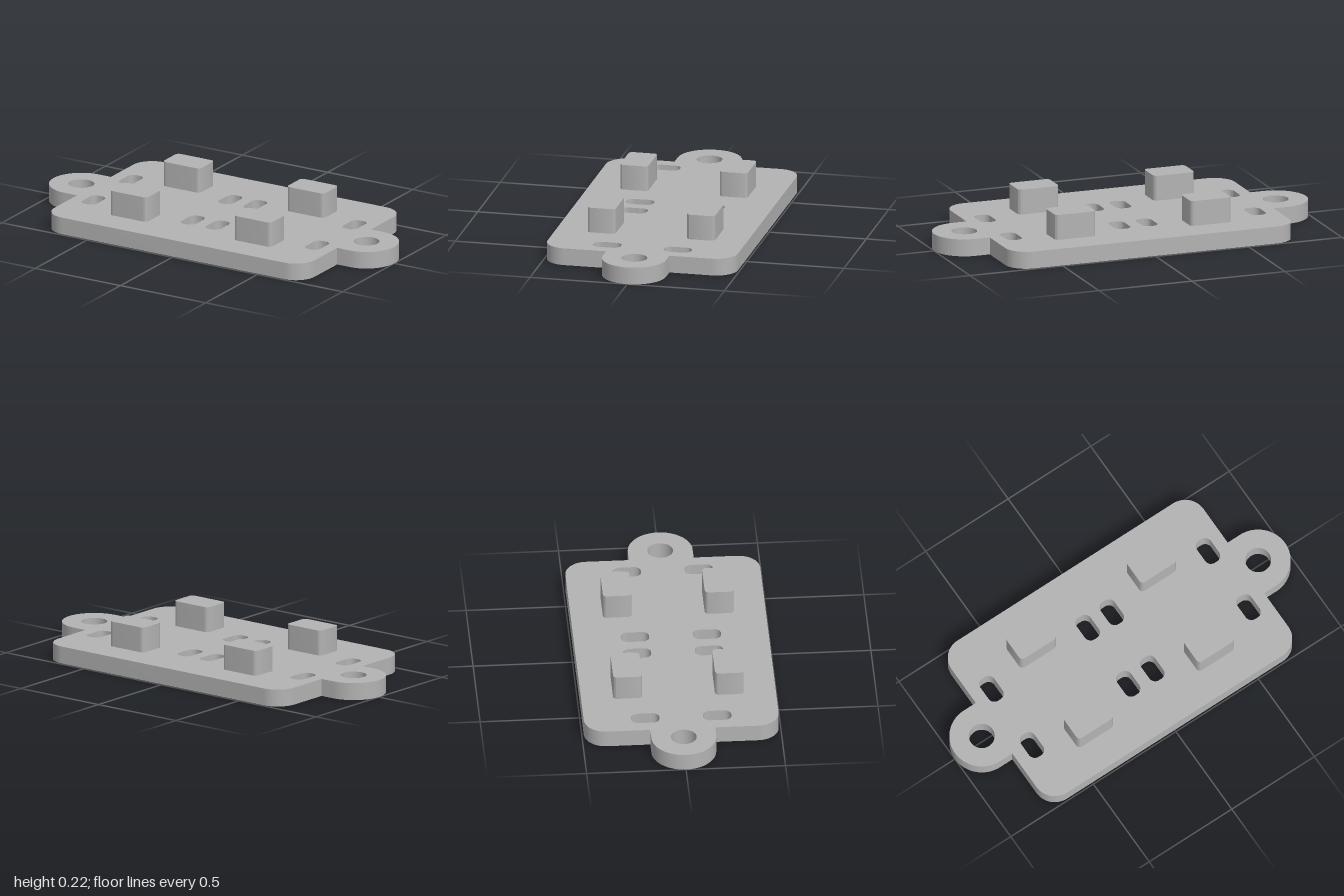
import * as THREE from 'three';
import { toCreasedNormals } from 'three/addons/utils/BufferGeometryUtils.js';

const PLATE_TOP = 0.088, PEG_TOP = 0.217;

// Rounded rectangle centred on (cx, cy), drawn on a Shape or Path
function roundedRect(path, cx, cy, w, h, r) {
  const x = w / 2 - r, y = h / 2 - r, q = Math.PI / 2;
  path.moveTo(cx + x + r, cy - y);
  path.absarc(cx + x, cy + y, r, 0, q, false);
  path.absarc(cx - x, cy + y, r, q, 2 * q, false);
  path.absarc(cx - x, cy - y, r, 2 * q, 3 * q, false);
  path.absarc(cx + x, cy - y, r, 3 * q, 4 * q, false);
  path.closePath();
  return path;
}

// Upright extrusion from y = 0 with smooth curves and sharp edges
function extrudeUp(shape, height) {
  const geo = new THREE.ExtrudeGeometry(shape, { depth: height, bevelEnabled: false, curveSegments: 16 });
  geo.rotateX(-Math.PI / 2);
  return toCreasedNormals(geo, Math.PI / 6);
}

// Plate outline: rounded body with a round-ended ear on each side
function plateShape() {
  const bx = 0.763, bz = 0.49, r = 0.11, ear = 0.163, ex = 0.837, q = Math.PI / 2;
  const s = new THREE.Shape();
  s.moveTo(bx, -ear);
  s.lineTo(ex, -ear);
  s.absarc(ex, 0, ear, -q, q, false);
  s.lineTo(bx, ear);
  s.absarc(bx - r, bz - r, r, 0, q, false);
  s.absarc(-bx + r, bz - r, r, q, 2 * q, false);
  s.lineTo(-bx, ear);
  s.lineTo(-ex, ear);
  s.absarc(-ex, 0, ear, q, 3 * q, false);
  s.lineTo(-bx, -ear);
  s.absarc(-bx + r, -bz + r, r, 2 * q, 3 * q, false);
  s.absarc(bx - r, -bz + r, r, 3 * q, 4 * q, false);
  s.closePath();

  // Screw holes in the ears
  for (const side of [-1, 1]) {
    s.holes.push(new THREE.Path().absarc(side * ex, 0, 0.065, 0, Math.PI * 2, true));
  }
  // Eight slots
  for (const x of [-0.656, -0.073, 0.073, 0.656]) {
    for (const z of [-0.181, 0.181]) {
      s.holes.push(roundedRect(new THREE.Path(), x, z, 0.084, 0.142, 0.035));
    }
  }
  return s;
}

export function createModel() {
  const model = new THREE.Group();
  model.name = 'mountingPlate';
  const grey = new THREE.MeshStandardMaterial({ color: 0xb3b3b3 });
  grey.name = 'grey';

  const plate = new THREE.Mesh(extrudeUp(plateShape(), PLATE_TOP), grey);
  plate.name = 'plate';
  model.add(plate);

  // Four locating pegs
  const pegGeo = extrudeUp(roundedRect(new THREE.Shape(), 0, 0, 0.219, 0.145, 0.021), PEG_TOP - PLATE_TOP);
  for (const x of [-1, 1]) {
    for (const z of [-1, 1]) {
      const peg = new THREE.Mesh(pegGeo, grey);
      peg.name = `${z > 0 ? 'front' : 'back'}${x > 0 ? 'Left' : 'Right'}Peg`;
      peg.position.set(x * 0.364, PLATE_TOP, z * 0.256);
      model.add(peg);
    }
  }
  return model;
}
